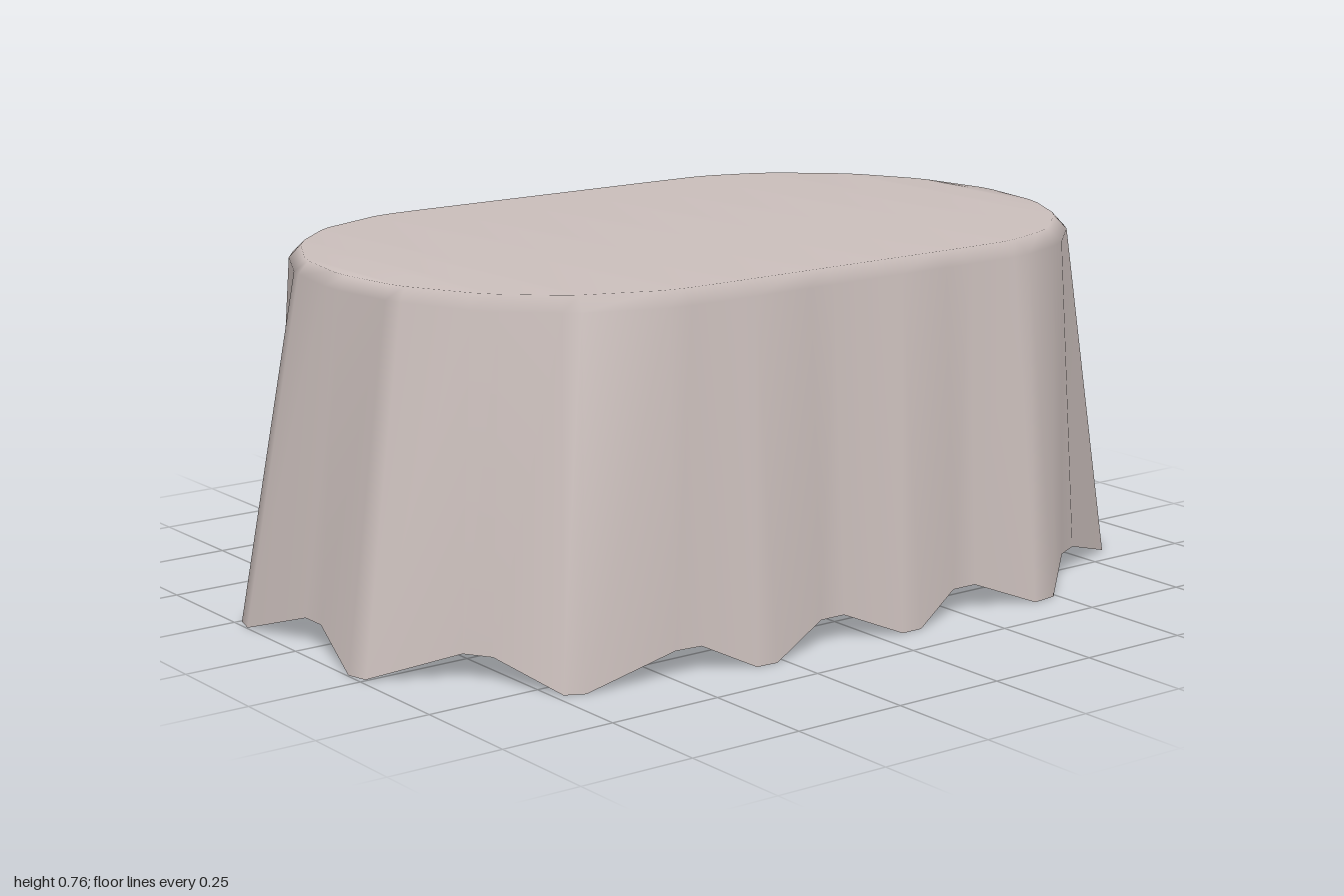
import * as THREE from 'three';

// Hem of the +x half, front to back: [x, z], first and last are single points,
// the rest alternate as pairs: fold tip (touching the ground), hollow (raised)
const HEM = [
  [0.03, 0.957],
  [0.2, 0.997], [0.245, 0.985], [0.365, 0.835], [0.42, 0.8],
  [0.56, 0.73], [0.58, 0.69], [0.602, 0.49], [0.608, 0.43],
  [0.645, 0.32], [0.648, 0.27], [0.614, 0.13], [0.614, 0.07],
  [0.648, -0.06], [0.648, -0.11], [0.612, -0.23], [0.612, -0.29],
  [0.65, -0.43], [0.642, -0.49], [0.55, -0.6], [0.52, -0.66],
  [0.44, -0.83], [0.4, -0.865], [0.24, -0.89], [0.19, -0.905],
  [0.025, -1.0],
];

// Point of the table rim (straight sides, elliptical ends) above a hem point
function rimPoint([x, z]) {
  const c = 0.38;
  if (Math.abs(z) <= c) return [0.572, z];
  const s = Math.sign(z), depth = s > 0 ? 0.515 : 0.495;
  const t = Math.atan2((Math.abs(z) - c) / 0.61, x / 0.65);
  return [0.572 * Math.cos(t), s * (c + depth * Math.sin(t))];
}

// Complete a half ring of [x, y, z] with its mirror image
const mirrored = (half) => [...half, ...half.slice().reverse().map(([x, y, z]) => [-x, y, z])];

export function createModel() {
  const cloth = new THREE.MeshStandardMaterial({ color: 0xcbbfbc, side: THREE.DoubleSide });
  cloth.name = 'warm grey cloth';

  const hem = HEM.map(([x, z], i) => [x, Math.floor((i + 1) / 2) % 2 ? 0 : 0.055, z]);
  const rim = HEM.map((p) => { const [x, z] = rimPoint(p); return [x, 0.735, z]; });
  const edge = rim.map(([x, , z]) => [x * 0.94, 0.763, z * 0.978]);
  const rings = [hem, rim, edge].map(mirrored);
  const n = rings[0].length;
  // tips: the back centre belongs to a fold touching the ground
  rings[0][n / 2 - 1][1] = rings[0][n / 2][1] = 0;

  const index = [];
  // hanging skirt and bevelled rim
  for (let r = 0; r < 2; r++) {
    for (let i = 0; i < n; i++) {
      const j = (i + 1) % n, a = r * n + i, b = r * n + j;
      index.push(a, b, b + n, a, b + n, a + n);
    }
  }
  // flat top, strips running from side to side
  for (let i = 0; i < n / 2 - 1; i++) {
    const o = 2 * n, a = o + i, b = a + 1, c = o + n - 2 - i, d = c + 1;
    index.push(a, b, c, a, c, d);
  }

  const geometry = new THREE.BufferGeometry();
  geometry.setAttribute('position', new THREE.Float32BufferAttribute(rings.flat(2), 3));
  geometry.setIndex(index);
  geometry.computeVertexNormals();

  const mesh = new THREE.Mesh(geometry, cloth);
  mesh.name = 'tablecloth';
  const group = new THREE.Group();
  group.name = 'drapedTablecloth';
  group.add(mesh);
  return group;
}
